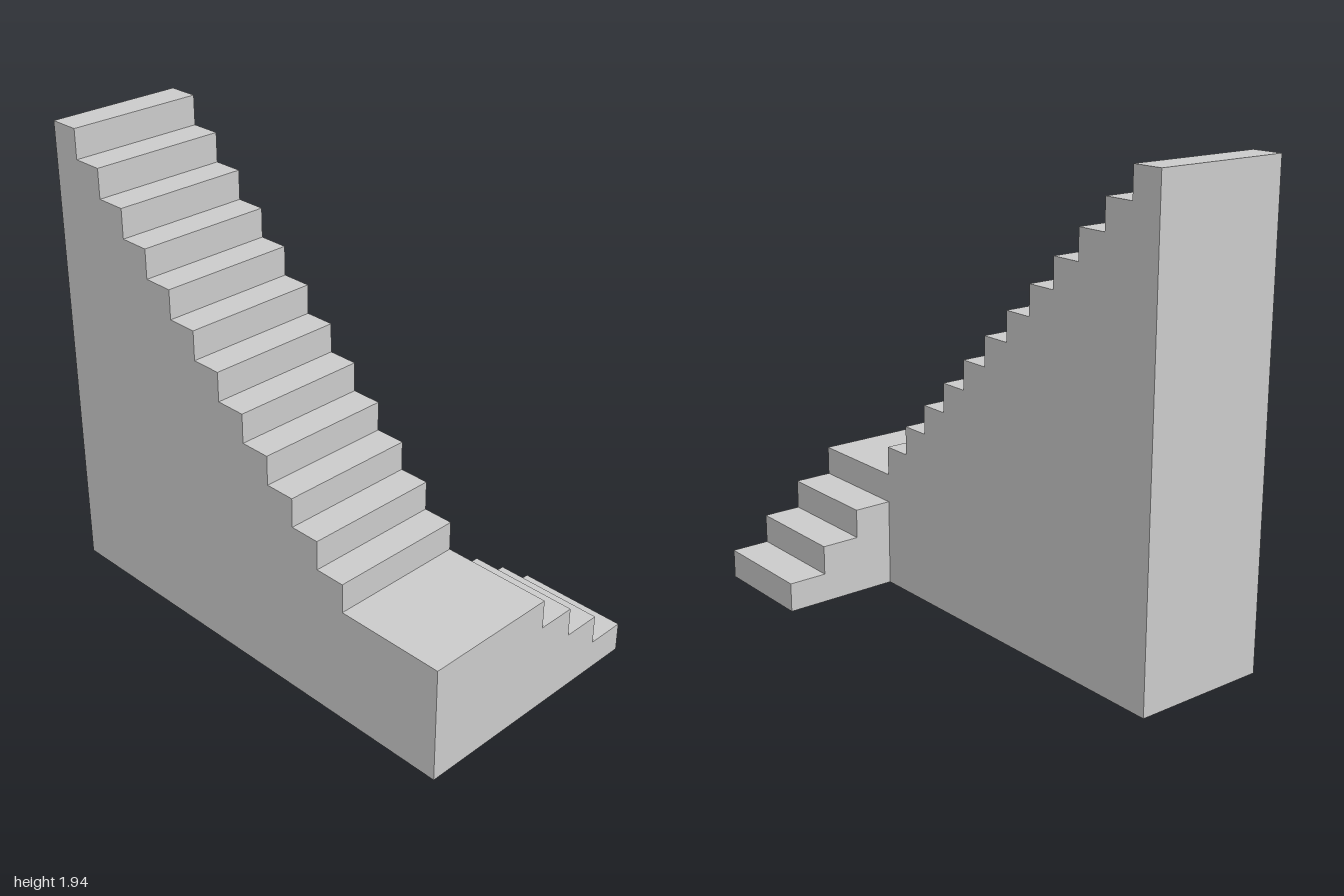
import * as THREE from 'three';

const RISE = 0.121;          // height of every riser
const LANDING = 4;           // risers below the landing
const CORNER_X = 0.54;       // where the upper flight meets the landing
const BACK_Z = -0.04;        // back face of the upper flight
const HALF_DEPTH = 0.53;

// Solid stair profile: level top from `start` to `flat`, then steps to `end`,
// each tread one riser up (dir = 1) or down (dir = -1).
function stairShape(start, flat, end, count, firstLevel, dir) {
  const shape = new THREE.Shape();
  shape.moveTo(start, 0);
  const run = (end - flat) / count;
  let x = flat;
  if (flat !== start) {
    shape.lineTo(start, (firstLevel - dir) * RISE);
    shape.lineTo(flat, (firstLevel - dir) * RISE);
  }
  for (let i = 0; i < count; i++) {
    const y = (firstLevel + dir * i) * RISE;
    shape.lineTo(x, y);
    x = flat + run * (i + 1);
    shape.lineTo(x, y);
  }
  shape.lineTo(end, 0);
  shape.closePath();
  return shape;
}

function extrude(shape, depth) {
  return new THREE.ExtrudeGeometry(shape, { depth, bevelEnabled: false });
}

export function createModel() {
  const group = new THREE.Group();
  const material = new THREE.MeshStandardMaterial({ color: 0xcccccc, flatShading: true });
  const add = (name, geometry) => {
    const mesh = new THREE.Mesh(geometry, material);
    mesh.name = name;
    group.add(mesh);
  };

  // Upper flight: twelve treads falling from the left end to the landing
  const upper = extrude(stairShape(-1, -1, CORNER_X, 12, 16, -1), HALF_DEPTH - BACK_Z);
  upper.translate(0, 0, BACK_Z);
  add('upperFlight', upper);

  // Corner landing and lower flight: three treads falling towards the back
  const lower = extrude(stairShape(-HALF_DEPTH, -BACK_Z, HALF_DEPTH, 3, LANDING - 1, -1), 1 - CORNER_X);
  lower.rotateY(Math.PI / 2);
  lower.translate(CORNER_X, 0, 0);
  add('landingAndLowerFlight', lower);

  return group;
}
